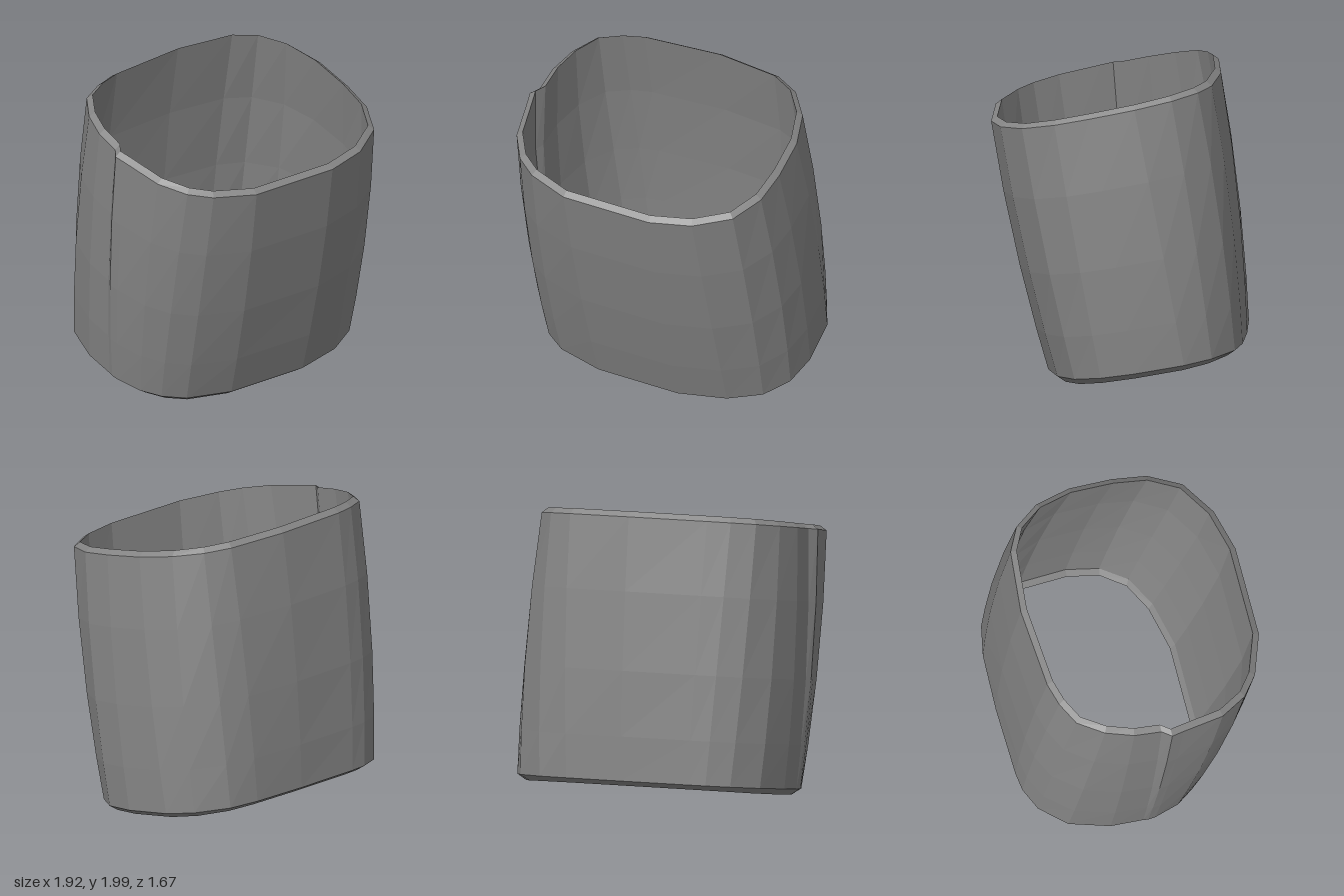
import * as THREE from 'three';

// Stations around the sleeve: [top x, top z, bottom x, bottom z], counter-clockwise from above
const STATIONS = [
  [-0.40, 0.80, -0.31, 0.43], [0.21, 0.83, 0.26, 0.46], [0.49, 0.77, 0.58, 0.40],
  [0.72, 0.63, 0.79, 0.29], [0.83, 0.42, 0.91, 0.12], [0.86, 0.19, 0.955, -0.10],
  [0.86, -0.10, 0.94, -0.42], [0.80, -0.34, 0.86, -0.60], [0.68, -0.51, 0.68, -0.75],
  [0.52, -0.60, 0.48, -0.80], [0.10, -0.66, 0.10, -0.83], [-0.43, -0.645, -0.36, -0.84],
  [-0.58, -0.61, -0.48, -0.83], [-0.73, -0.54, -0.63, -0.77], [-0.84, -0.38, -0.78, -0.61],
  [-0.90, -0.20, -0.86, -0.35], [-0.915, -0.02, -0.87, -0.13], [-0.96, 0.04, -0.875, -0.10],
  [-0.945, 0.12, -0.87, -0.05], [-0.90, 0.40, -0.82, 0.12], [-0.80, 0.58, -0.74, 0.24],
  [-0.67, 0.69, -0.61, 0.34],
];
const LEVELS = [0, 0.17, 0.42, 0.72, 1];

// Point at station i, height fraction t, moved inward by inset and up by lift
function point(i, t, inset, lift) {
  const [tx, tz, bx, bz] = STATIONS[i % STATIONS.length];
  const cx = THREE.MathUtils.lerp(0.04, -0.05, t);
  const cz = THREE.MathUtils.lerp(-0.19, 0.085, t);
  const x = THREE.MathUtils.lerp(bx, tx, t);
  const z = THREE.MathUtils.lerp(bz, tz, t);
  // outward direction of a rounded square
  const u = (x - cx) / 0.91, v = (z - cz) / 0.7;
  const nx = u * Math.abs(u), nz = v * Math.abs(v);
  const push = (0.12 * t * (1 - t) - inset) / Math.hypot(nx, nz);
  // both ends slope down towards the front
  const yBottom = 0.01 + (0.46 - bz) * 0.165 + 0.04;
  const yTop = 1.675 + (0.83 - tz) * 0.2;
  const y = THREE.MathUtils.lerp(yBottom, yTop, t) + lift;
  return [x + nx * push, y, z + nz * push];
}

// Surface strip through a list of rings, each [t, inset, lift]
function strip(name, rings, material) {
  const positions = [];
  for (let j = 0; j < rings.length - 1; j++) {
    for (let i = 0; i < STATIONS.length; i++) {
      const a = point(i, ...rings[j]), b = point(i + 1, ...rings[j]);
      const c = point(i + 1, ...rings[j + 1]), d = point(i, ...rings[j + 1]);
      positions.push(...a, ...b, ...c, ...a, ...c, ...d);
    }
  }
  const geometry = new THREE.BufferGeometry();
  geometry.setAttribute('position', new THREE.Float32BufferAttribute(positions, 3));
  geometry.computeVertexNormals();
  const mesh = new THREE.Mesh(geometry, material);
  mesh.name = name;
  return mesh;
}

export function createModel() {
  const group = new THREE.Group();
  group.name = 'sleeve';
  const grey = new THREE.MeshStandardMaterial({ color: 0x858585, flatShading: true });
  grey.name = 'grey';

  const outer = LEVELS.map((t) => [t, 0, 0]);
  const inner = [...LEVELS].reverse().map((t) => [t, t === 1 ? 0.04 : 0.025, t === 1 ? 0.03 : 0]);
  const lip = [0, 0.06, -0.04];

  group.add(
    strip('outerWall', outer, grey),
    strip('topRim', [outer[outer.length - 1], inner[0]], grey),
    strip('innerWall', inner, grey),
    strip('bottomLip', [inner[inner.length - 1], lip, outer[0]], grey),
  );
  return group;
}
